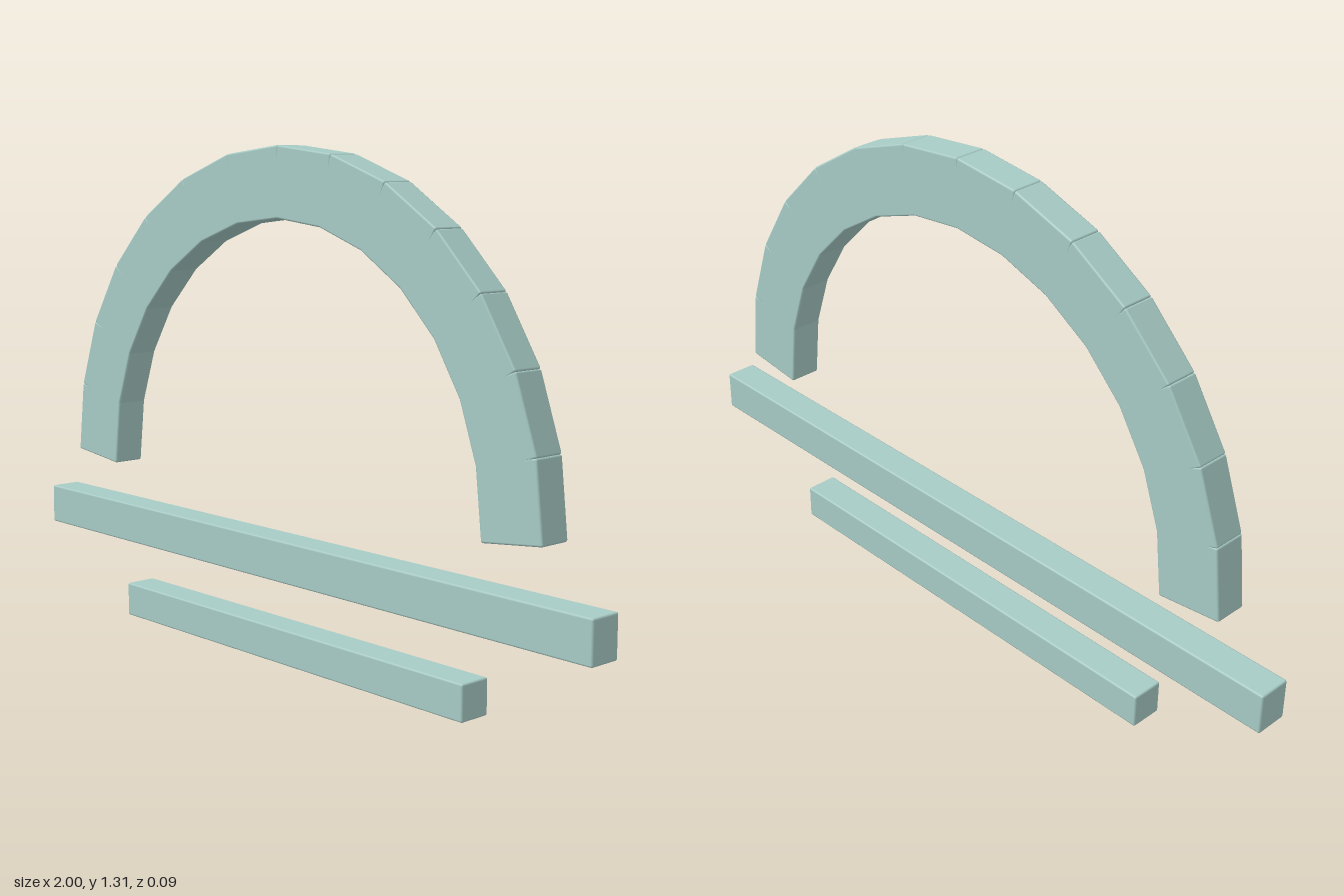
import * as THREE from 'three';
import { RoundedBoxGeometry } from 'three/addons/geometries/RoundedBoxGeometry.js';

export function createModel() {
  const model = new THREE.Group();
  model.name = 'archAndBars';
  const paleTeal = new THREE.MeshStandardMaterial({ color: 0xa8ccc6 });
  paleTeal.name = 'paleTeal';

  const DEPTH = 0.088;
  const BEVEL = 0.005;

  // One bevelled block
  function block(name, width, height, parent) {
    const geometry = new RoundedBoxGeometry(width, height, DEPTH, 1, BEVEL);
    const mesh = new THREE.Mesh(geometry, paleTeal);
    mesh.name = name;
    parent.add(mesh);
    return mesh;
  }

  // Two horizontal bars below the arch
  block('lowerBar', 1.27, 0.092, model).position.y = 0.046;
  block('upperBar', 2, 0.108, model).position.y = 0.266;

  // Half-circle arch of straight blocks that meet at their outer corners
  const arch = new THREE.Group();
  arch.name = 'arch';
  arch.position.y = 0.448;
  model.add(arch);
  const COUNT = 14;
  const RADIUS = 0.859;
  const THICKNESS = 0.178;
  const step = Math.PI / COUNT;
  const chord = 2 * RADIUS * Math.sin(step / 2);
  const middle = RADIUS * Math.cos(step / 2) - THICKNESS / 2;
  for (let i = 0; i < COUNT; i++) {
    const angle = (i + 0.5) * step;
    const stone = block('archBlock' + (i + 1), chord, THICKNESS, arch);
    stone.position.set(middle * Math.cos(angle), middle * Math.sin(angle), 0);
    stone.rotation.z = angle - Math.PI / 2;
  }
  return model;
}
